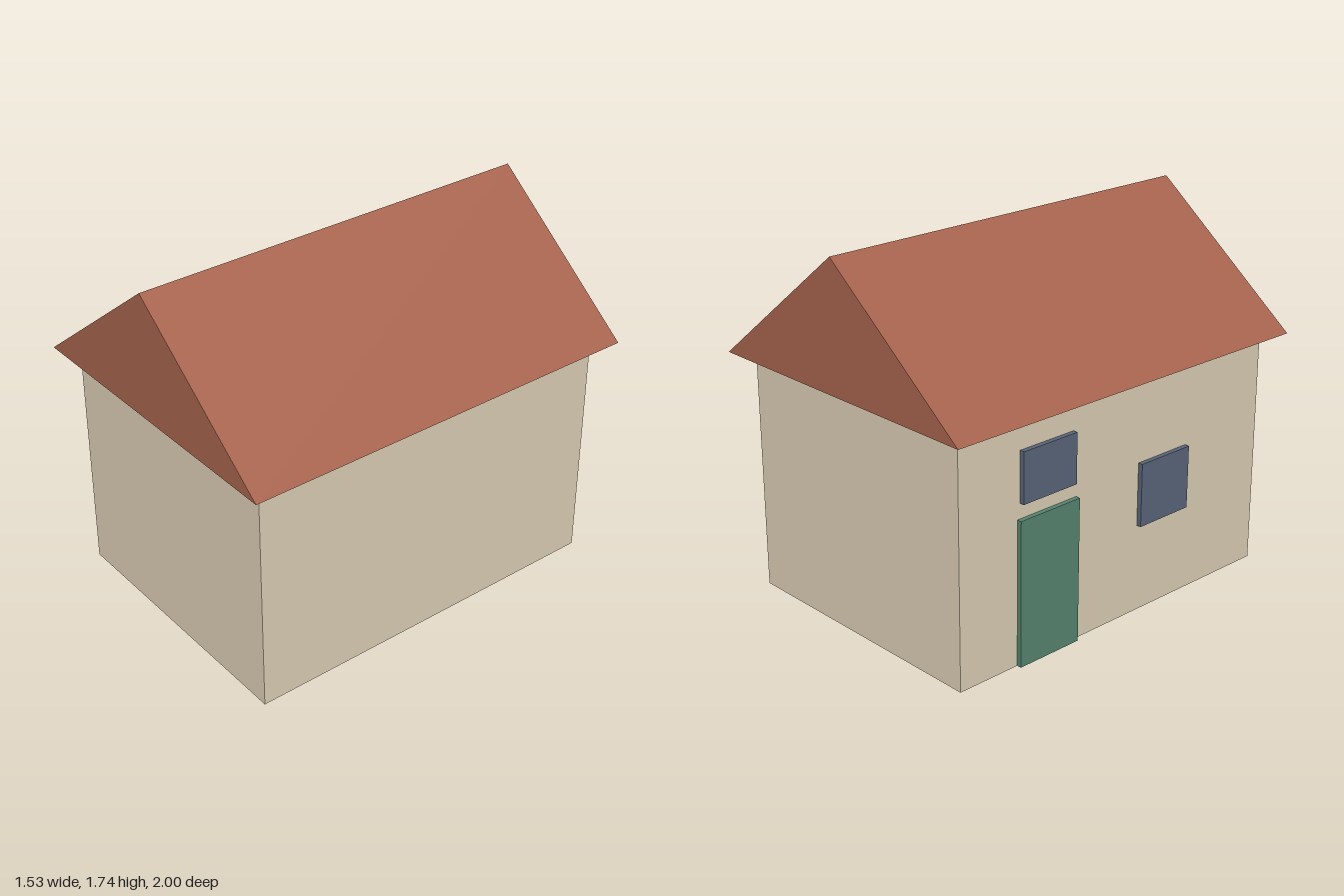
import * as THREE from 'three';

export function createModel() {
  const house = new THREE.Group();
  house.name = 'house';

  const mat = (name, color) => {
    const m = new THREE.MeshStandardMaterial({ color });
    m.name = name;
    return m;
  };
  const plaster = mat('plaster', 0xd8cbb2);
  const roofTile = mat('roof tile', 0xa5624c);
  const doorGreen = mat('door green', 0x56826f);
  const glass = mat('window slate', 0x596477);

  const add = (name, geometry, material) => {
    const mesh = new THREE.Mesh(geometry, material);
    mesh.name = name;
    house.add(mesh);
    return mesh;
  };

  // Walls
  const W = 0.67, eave = 1.135;
  add('walls', new THREE.BoxGeometry(2 * W, eave, 1.84), plaster).position.y = eave / 2;

  // Gabled roof: a solid triangular prism overhanging the walls
  const gable = new THREE.Shape([
    new THREE.Vector2(-0.765, eave),
    new THREE.Vector2(0.765, eave),
    new THREE.Vector2(0, 1.735),
  ]);
  const roof = new THREE.ExtrudeGeometry(gable, { depth: 2, bevelEnabled: false });
  add('roof', roof.translate(0, 0, -1), roofTile);

  // Panels standing proud of the -x wall, given by their y and z ranges
  const panel = (name, y0, y1, z0, z1, material) => {
    const t = 0.04;
    add(name, new THREE.BoxGeometry(t, y1 - y0, z1 - z0), material)
      .position.set(-0.693 + t / 2, (y0 + y1) / 2, (z0 + z1) / 2);
  };
  panel('door', 0, 0.68, -0.6, -0.26, doorGreen);
  panel('windowAboveDoor', 0.75, 0.985, -0.585, -0.28, glass);
  panel('sideWindow', 0.42, 0.72, 0.125, 0.43, glass);

  return house;
}
